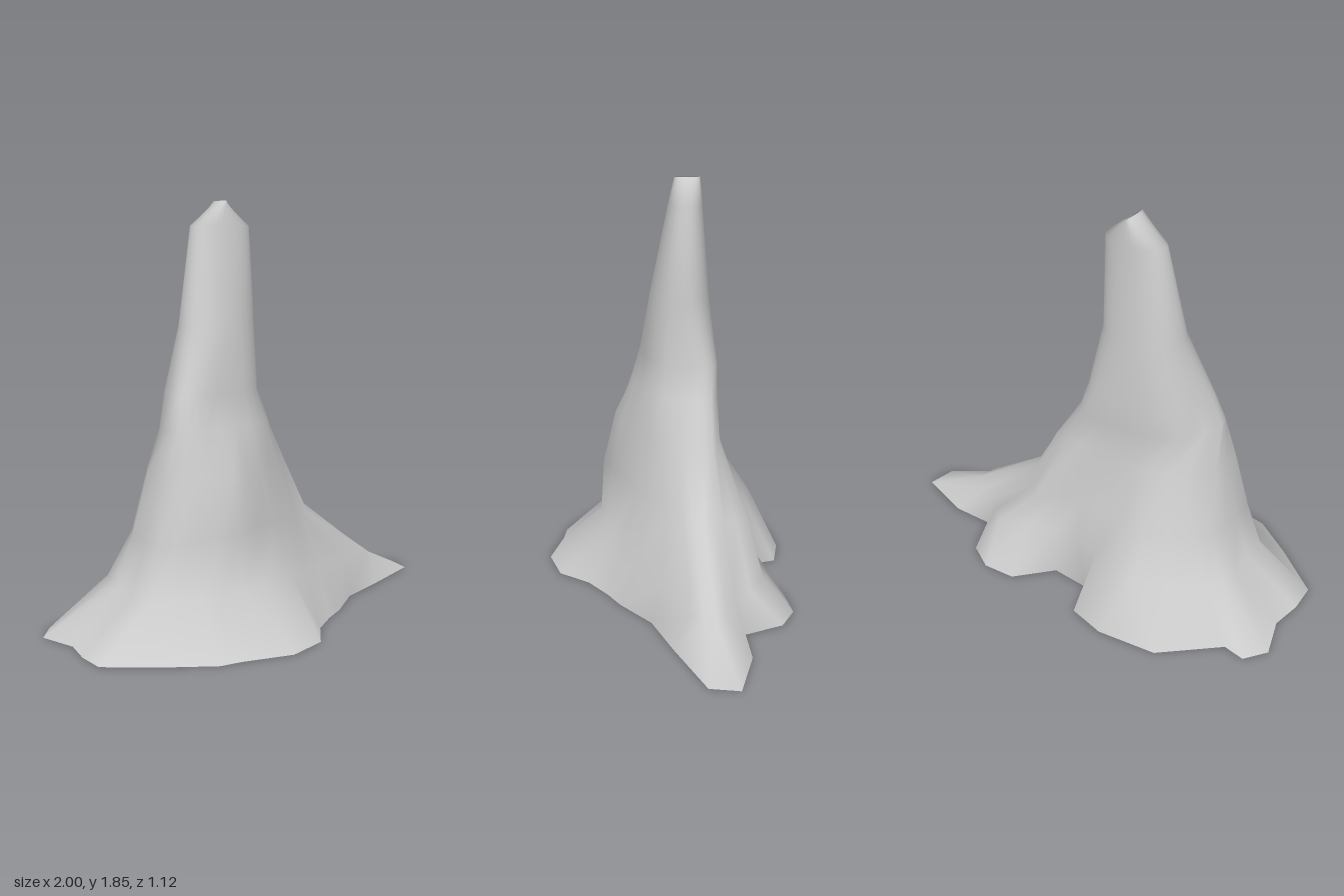
import * as THREE from 'three';

const N = 28; // corners per ring, counted from +x round the back to -x and the front

// Ground outline [x, z]
const outline = [
  [1, -.28], [.75, -.345], [.56, -.33], [.48, -.5], [.36, -.56], [.21, -.54], [.07, -.38],
  [-.11, -.38], [-.16, -.53], [-.33, -.56], [-.6, -.51], [-.83, -.29], [-.93, -.3], [-1, -.2],
  [-.94, -.03], [-.96, .11], [-.95, .24], [-.73, .39], [-.54, .5], [-.44, .51], [-.22, .56],
  [-.04, .5], [.06, .36], [.18, .27], [.28, .21], [.45, .07], [.68, -.02], [.98, -.15],
];

// Irregular lower sections [x, y, z], every second corner
const foot = [
  [.72, .13, -.2], [.55, .14, -.29], [.38, .18, -.42], [.07, .25, -.35], [-.17, .25, -.37],
  [-.42, .27, -.42], [-.68, .22, -.22], [-.72, .21, -.05], [-.7, .2, .19], [-.5, .21, .28],
  [-.3, .22, .31], [-.02, .22, .25], [.22, .2, .13], [.68, .15, -.09],
];
const shoulder = [
  [.33, .43, -.16], [.3, .4, -.25], [.2, .39, -.36], [.06, .42, -.32], [-.13, .43, -.29],
  [-.38, .45, -.31], [-.57, .42, -.19], [-.645, .42, -.05], [-.635, .42, .16], [-.5, .45, .25],
  [-.31, .47, .295], [-.08, .46, .2], [.12, .44, .08], [.3, .4, -.07],
];
const waist = [
  [.2, .67, -.14], [.18, .68, -.21], [.09, .7, -.24], [-.05, .72, -.245], [-.2, .72, -.24],
  [-.35, .72, -.225], [-.5, .72, -.16], [-.575, .7, -.03], [-.57, .7, .13], [-.47, .72, .2],
  [-.31, .72, .235], [-.13, .72, .17], [.01, .72, .08], [.12, .7, -.02],
];

// Insert a midpoint after every corner
function doubled(ring) {
  return ring.flatMap((p, i) => {
    const q = ring[(i + 1) % ring.length];
    return [p, p.map((v, j) => (v + q[j]) / 2)];
  });
}

// Rounded section of the spire from its extents; a power below 1 makes it
// boxier, skew stretches it along the left-back to right-front diagonal
function oval(y, x0, x1, z0, z1, power = 1, skew = 0) {
  const bend = (v) => Math.sign(v) * Math.abs(v) ** power;
  return Array.from({ length: N }, (_, i) => {
    const a = (i / N) * Math.PI * 2;
    return [
      (x0 + x1) / 2 + (x1 - x0) / 2 * bend(Math.cos(a)),
      y,
      (z0 + z1) / 2 - (z1 - z0) / 2 * bend(Math.sin(a + skew)),
    ];
  });
}

// Skin a stack of rings with smooth normals
function skin(rings) {
  const index = [];
  for (let r = 0; r < rings.length - 1; r++) {
    for (let i = 0; i < N; i++) {
      const j = (i + 1) % N;
      const a = r * N + i, b = r * N + j, c = a + N, d = b + N;
      index.push(a, b, d, a, d, c);
    }
  }
  const g = new THREE.BufferGeometry();
  g.setAttribute('position', new THREE.Float32BufferAttribute(rings.flat(2), 3));
  g.setIndex(index);
  g.computeVertexNormals();
  return g;
}

export function createModel() {
  const group = new THREE.Group();
  group.name = 'rockSpire';
  const rings = [
    outline.map(([x, z]) => [x, 0, z]),
    doubled(foot),
    doubled(shoulder),
    doubled(waist),
    oval(.89, -.53, .065, -.238, .155, .8, .45),
    oval(1.03, -.485, .012, -.235, .115, .75, .45),
    oval(1.32, -.385, -.02, -.2, .07, .95, .1),
    oval(1.745, -.31, -.03, -.165, -.015, .85),
    oval(1.853, -.168, -.162, -.155, -.04), // narrow crest
  ];
  // Open-bottomed rock shell
  const rock = new THREE.Mesh(
    skin(rings),
    new THREE.MeshStandardMaterial({ color: 0xcccccc, side: THREE.DoubleSide }),
  );
  rock.name = 'rock';
  group.add(rock);
  return group;
}
